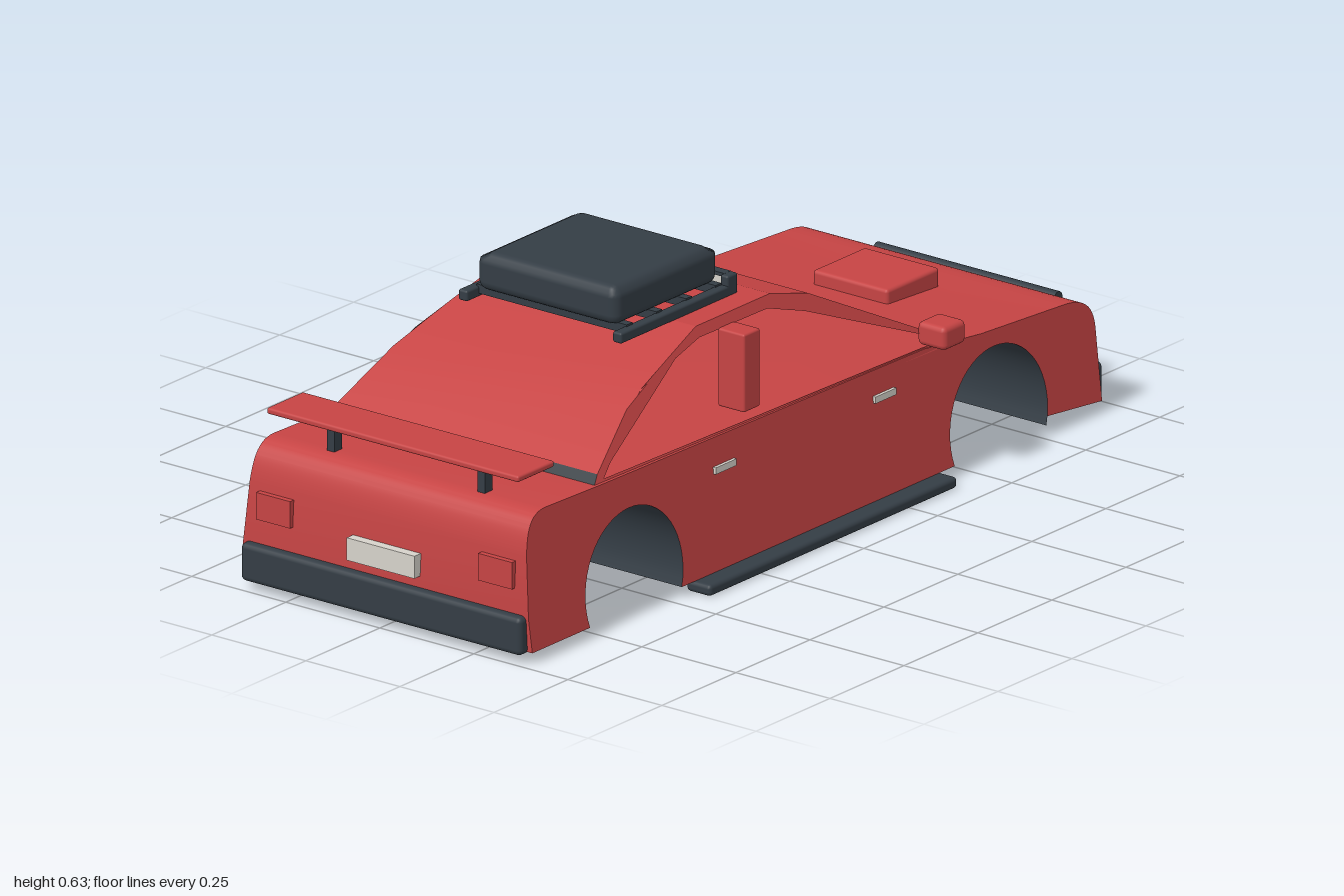
import * as THREE from 'three';
import { toCreasedNormals } from 'three/addons/utils/BufferGeometryUtils.js';
import { RoundedBoxGeometry } from 'three/addons/geometries/RoundedBoxGeometry.js';

const material = (name, color) => {
  const m = new THREE.MeshStandardMaterial({ color, side: THREE.DoubleSide });
  m.name = name;
  return m;
};

export function createModel() {
  const red = material('red paint', 0xc64444);
  const dark = material('dark trim', 0x343d45);
  const glass = material('dark glass', 0x30393e);
  const light = material('pale lamp', 0xd6d2ca);
  const model = new THREE.Group();

  const add = (name, geometry, mat, x = 0, y = 0, z = 0) => {
    const mesh = new THREE.Mesh(geometry, mat);
    mesh.name = name;
    mesh.position.set(x, y, z);
    model.add(mesh);
    return mesh;
  };

  // Box given by its limits on each axis, optionally with rounded edges
  const box = (name, mat, [x0, x1], [y0, y1], [z0, z1], r = 0) => {
    const size = [x1 - x0, y1 - y0, z1 - z0];
    const g = r ? new RoundedBoxGeometry(...size, 2, r) : new THREE.BoxGeometry(...size);
    return add(name, g, mat, (x0 + x1) / 2, (y0 + y1) / 2, (z0 + z1) / 2);
  };
  // The same box on both sides of the car
  const pair = (name, mat, xs, ys, [z0, z1], r) => {
    box(name + 'Left', mat, xs, ys, [z0, z1], r);
    box(name + 'Right', mat, xs, ys, [-z1, -z0], r);
  };

  // Sheet that carries a side profile across the car, its half width set by height
  const sheet = (name, mat, points, width) => {
    const pos = [], index = [];
    points.forEach((p, i) => {
      pos.push(p.x, p.y, -width(p.y), p.x, p.y, width(p.y));
      if (i) {
        const a = 2 * i - 2;
        index.push(a, a + 1, a + 3, a, a + 3, a + 2);
      }
    });
    const g = new THREE.BufferGeometry();
    g.setAttribute('position', new THREE.Float32BufferAttribute(pos, 3));
    g.setIndex(index);
    add(name, toCreasedNormals(g, 0.25), mat);
  };

  // Side panel leaning with the same half width rule
  const panel = (name, mat, shape, width, sign) => {
    const g = new THREE.ShapeGeometry(shape);
    const p = g.attributes.position;
    for (let i = 0; i < p.count; i++) p.setZ(i, sign * width(p.getY(i)));
    if (sign < 0) g.setIndex([...g.index.array].reverse());
    g.computeVertexNormals();
    add(name, g, mat);
  };
  const vec = list => list.map(([x, y]) => new THREE.Vector2(x, y));

  // Body shell
  const bodyWidth = y => 0.388 - 0.085 * y;
  const upper = new THREE.Path();
  upper.moveTo(-0.975, 0.025);
  upper.lineTo(-0.98, 0.1);
  upper.lineTo(-0.972, 0.235);
  upper.bezierCurveTo(-0.965, 0.29, -0.95, 0.323, -0.9, 0.323);
  upper.lineTo(-0.71, 0.318);
  upper.lineTo(0.38, 0.302);
  upper.lineTo(0.57, 0.281);
  upper.lineTo(0.84, 0.265);
  upper.bezierCurveTo(0.91, 0.262, 0.942, 0.24, 0.945, 0.19);
  upper.lineTo(0.95, 0.025);
  const under = new THREE.Path();
  under.moveTo(0.95, 0.025);
  for (const x of [0.607, -0.625]) under.absarc(x, 0.079, 0.164, -0.335, Math.PI + 0.335, false);
  under.lineTo(-0.975, 0.025);
  const upperPoints = upper.getPoints(12), underPoints = under.getPoints(16);
  sheet('bodyTop', red, upperPoints, bodyWidth);
  sheet('underside', dark, underPoints, bodyWidth);
  const bodyShape = new THREE.Shape([...upperPoints, ...underPoints.slice(1, -1)]);
  panel('bodySideLeft', red, bodyShape, bodyWidth, 1);
  panel('bodySideRight', red, bodyShape, bodyWidth, -1);

  // Cabin: rear strip, roof, windscreen and side frames; the left side is open
  const cabinWidth = y => 0.36 - 0.385 * (y - 0.3);
  const cabin = vec([[-0.73, 0.312], [-0.705, 0.336], [-0.56, 0.43], [-0.4, 0.487], [-0.28, 0.525],
    [-0.03, 0.525], [0.085, 0.495], [0.49, 0.288]]);
  const opening = vec([[-0.69, 0.323], [-0.5, 0.455], [-0.28, 0.502], [-0.05, 0.5], [0.06, 0.465], [0.45, 0.303]]);
  sheet('rearWindow', glass, cabin.slice(0, 2), cabinWidth);
  sheet('roof', red, cabin.slice(1, 7), cabinWidth);
  sheet('windscreen', glass, cabin.slice(6), cabinWidth);
  const frame = new THREE.Shape(cabin);
  frame.holes.push(new THREE.Path(opening));
  panel('windowFrameLeft', red, frame, cabinWidth, 1);
  panel('windowFrameRight', red, frame, cabinWidth, -1);
  panel('sideWindowRight', glass, new THREE.Shape(opening), cabinWidth, -1);
  pair('doorPillar', red, [-0.215, -0.16], [0.33, 0.504], [0.28, 0.351], 0.005);

  // Mirrors, handles and sills
  pair('mirror', red, [0.377, 0.452], [0.308, 0.36], [0.343, 0.418], 0.012);
  for (const x of [-0.34, 0.2]) pair('doorHandle', light, [x, x + 0.07], [0.235, 0.25], [0.36, 0.374]);
  pair('sideSill', dark, [-0.43, 0.407], [0, 0.025], [0.365, 0.43], 0.009);

  // Bonnet scoop
  box('bonnetScoop', red, [0.588, 0.765], [0.262, 0.311], [-0.1, 0.1], 0.008);
  box('scoopGrille', dark, [0.76, 0.768], [0.277, 0.304], [-0.081, 0.081]);

  // Nose
  box('frontBumper', dark, [0.91, 0.972], [0.018, 0.105], [-0.373, 0.373], 0.012);
  box('grille', dark, [0.935, 0.962], [0.1, 0.16], [-0.156, 0.156], 0.005);
  pair('headlight', light, [0.944, 0.952], [0.113, 0.166], [0.19, 0.358]);
  box('frontPlate', light, [0.968, 0.976], [0.036, 0.085], [-0.091, 0.091]);
  for (const s of [-1, 1]) {
    const fog = add('fogLight', new THREE.CylinderGeometry(0.023, 0.023, 0.009, 20), light, 0.972, 0.065, 0.268 * s);
    fog.rotation.z = Math.PI / 2;
  }

  // Bull bar
  const bar = (name, r, length, y, z, across) => {
    const mesh = add(name, new THREE.CylinderGeometry(r, r, length, 14), dark, 0.986, y, z);
    if (across) mesh.rotation.x = Math.PI / 2;
  };
  bar('bullBarTop', 0.014, 0.482, 0.211, 0, true);
  bar('bullBarMiddle', 0.011, 0.426, 0.128, 0, true);
  for (const s of [-1, 1]) bar('bullBarUpright', 0.014, 0.185, 0.117, 0.177 * s, false);

  // Tail
  box('rearBumper', dark, [-1, -0.93], [0.02, 0.105], [-0.373, 0.373], 0.012);
  box('rearPlate', light, [-0.998, -0.976], [0.13, 0.18], [-0.09, 0.09]);
  pair('tailLight', red, [-0.986, -0.97], [0.16, 0.22], [0.25, 0.34]);
  box('spoilerWing', red, [-0.958, -0.835], [0.388, 0.402], [-0.335, 0.335], 0.005);
  pair('spoilerPost', dark, [-0.912, -0.886], [0.31, 0.39], [0.19, 0.21]);

  // Roof rack with luggage case and lamp bar
  pair('rackRail', dark, [-0.46, -0.065], [0.524, 0.548], [0.193, 0.217], 0.005);
  pair('lampBarEnd', dark, [-0.1, -0.066], [0.524, 0.57], [0.196, 0.217], 0.005);
  for (const x of [-0.42, -0.32, -0.22, -0.12]) box('rackCrossbar', dark, [x, x + 0.02], [0.532, 0.552], [-0.2, 0.2]);
  box('lampBar', light, [-0.085, -0.07], [0.54, 0.564], [-0.198, 0.198]);
  box('lampBarTop', dark, [-0.09, -0.068], [0.562, 0.57], [-0.2, 0.2]);
  const luggage = box('luggageCase', dark, [-0.44, -0.09], [0.548, 0.631], [-0.187, 0.187], 0.022);
  const lp = luggage.geometry.attributes.position;
  for (let i = 0; i < lp.count; i++) {
    if (lp.getY(i) > 0.03) lp.setXYZ(i, lp.getX(i) * 0.95, lp.getY(i), lp.getZ(i) * 0.95);
  }

  return model;
}
